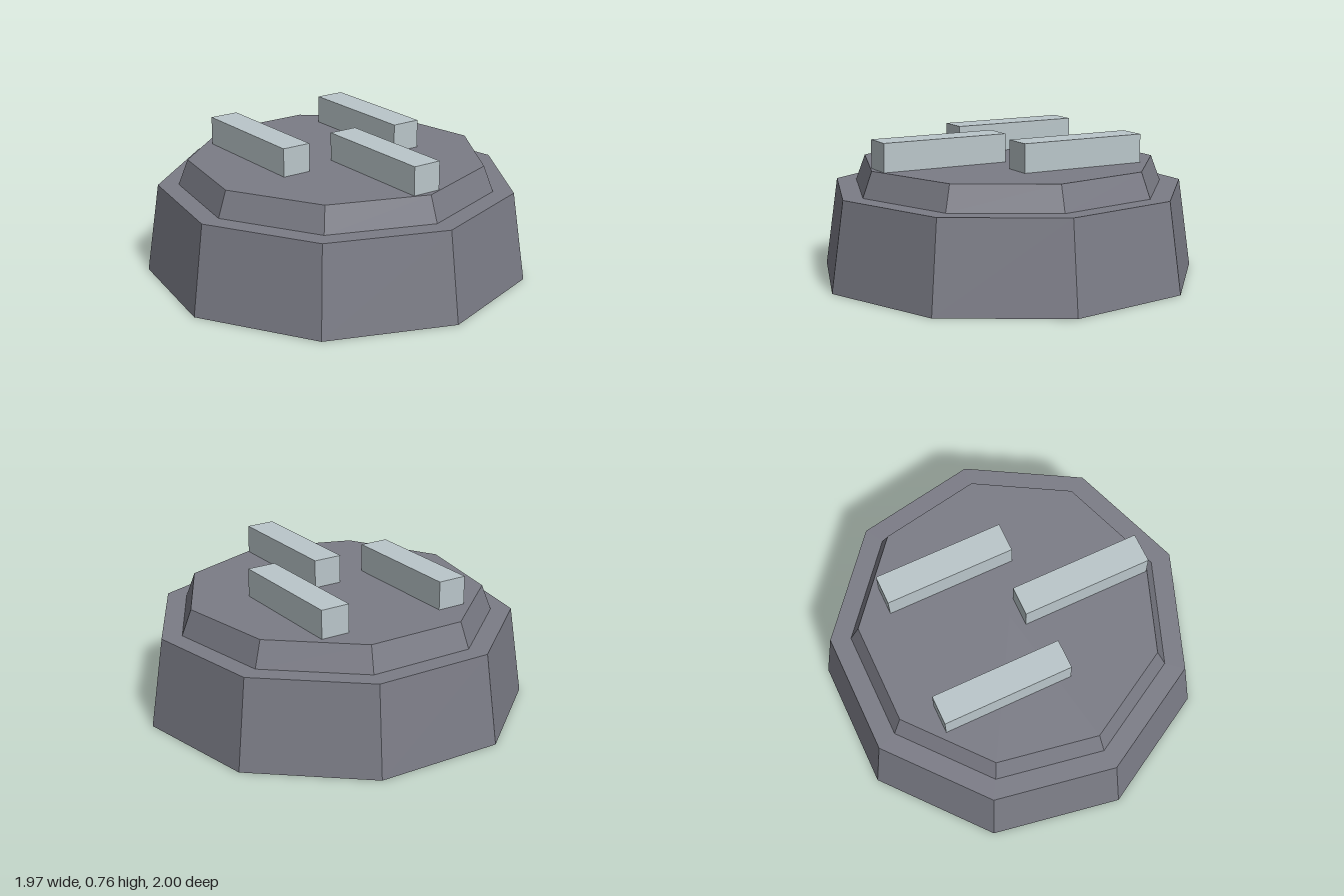
import * as THREE from 'three';

export function createModel() {
  const model = new THREE.Group();
  const stone = new THREE.MeshStandardMaterial({ color: 0x7b7c86 });
  stone.name = 'slate grey';
  stone.flatShading = true;
  const pale = new THREE.MeshStandardMaterial({ color: 0xbac6ca });
  pale.name = 'pale blue grey';
  pale.flatShading = true;

  // Nine-sided tapered tiers, one corner pointing to +x
  const centreX = -0.031;
  function tier(name, topRadius, bottomRadius, y0, y1) {
    const geometry = new THREE.CylinderGeometry(topRadius, bottomRadius, y1 - y0, 9, 1, false, Math.PI / 2);
    const mesh = new THREE.Mesh(geometry, stone);
    mesh.name = name;
    mesh.position.set(centreX, (y0 + y1) / 2, 0);
    model.add(mesh);
  }
  tier('base', 0.946, 1.0154, 0, 0.475);
  tier('upperTier', 0.786, 0.837, 0.475, 0.61);

  // Three raised bars, the middle one shifted to +x
  const bars = [['backBar', -0.237, -0.353], ['middleBar', 0.373, 0], ['frontBar', -0.237, 0.353]];
  for (const [name, x, z] of bars) {
    const bar = new THREE.Mesh(new THREE.BoxGeometry(0.696, 0.15, 0.157), pale);
    bar.name = name;
    bar.position.set(x, 0.685, z);
    model.add(bar);
  }
  return model;
}
